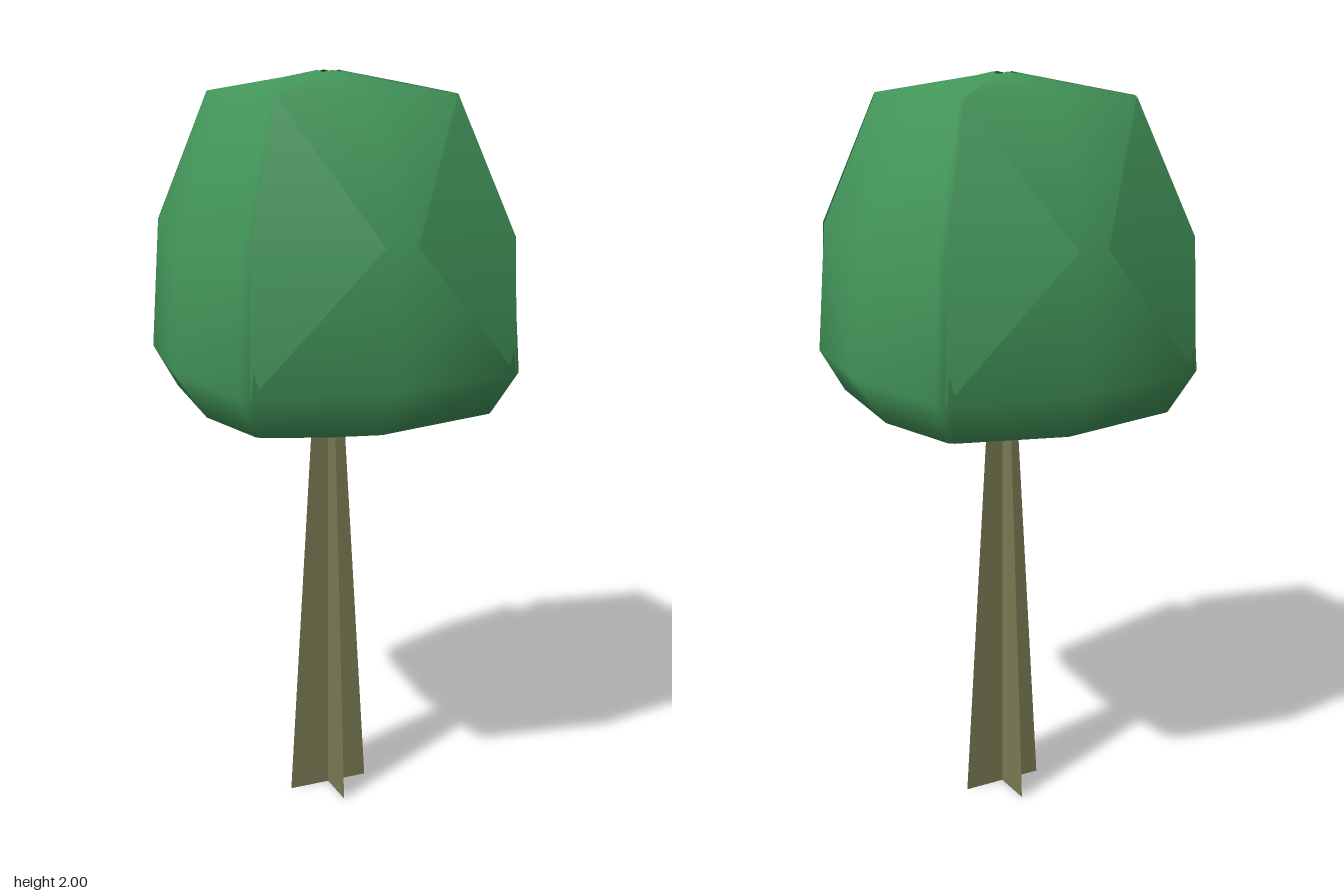
import * as THREE from 'three';

const leafMat = new THREE.MeshStandardMaterial({ color: 0x43965a, side: THREE.DoubleSide });
const barkMat = new THREE.MeshStandardMaterial({ color: 0x7b7b54, side: THREE.DoubleSide });

function meshFrom(name, positions, index, material) {
  const geo = new THREE.BufferGeometry();
  geo.setAttribute('position', new THREE.Float32BufferAttribute(positions, 3));
  geo.setIndex(index);
  geo.computeVertexNormals();
  const mesh = new THREE.Mesh(geo, material);
  mesh.name = name;
  return mesh;
}

// Rounded-square rings: height at side middles, middle reach, height at corners, corner reach, corner chamfer
const rings = [
  [1.12, 0.345, 1.14, 0.325, 0.012],
  [1.25, 0.437, 1.25, 0.38, 0.025],
  [1.6, 0.408, 1.6, 0.36, 0.02],
  [1.96, 0.25, 1.945, 0.248, 0.012],
  [2.0, 0.028, 1.995, 0.028, 0.003],
];

function createCrown() {
  const pos = [0, 1.03, 0];
  const index = [];
  const n = 12;
  for (const [midY, mid, cornerY, corner, chamfer] of rings) {
    for (let q = 0; q < 4; q++) {
      const c = Math.round(Math.cos(q * Math.PI / 2));
      const s = Math.round(Math.sin(q * Math.PI / 2));
      const points = [[mid, midY, 0], [corner, cornerY, corner - chamfer], [corner - chamfer, cornerY, corner]];
      for (const [x, y, z] of points) pos.push(c * x - s * z, y, s * x + c * z);
    }
  }
  for (let i = 0; i < n; i++) {
    const j = (i + 1) % n;
    index.push(0, 1 + i, 1 + j); // shallow cone underneath
    for (let r = 0; r < rings.length - 1; r++) {
      const a = 1 + r * n + i, b = 1 + r * n + j;
      // split each panel so its diagonal mirrors about the side middles
      if (i % 3 === 2) index.push(a, a + n, b, b, a + n, b + n);
      else index.push(a, a + n, b + n, a, b + n, b);
    }
  }
  return meshFrom('crown', pos, index, leafMat);
}

// Leaf flap running from a crown corner to a raised point near the middle of the front or back
function createFlap(sx, sz) {
  const points = [[0.042, 1.6, 0.447], [0.243, 1.945, 0.25], [0.352, 1.6, 0.366], [0.362, 1.25, 0.376]];
  const pos = points.flatMap(([x, y, z]) => [sx * x, y, sz * z]);
  const index = sx * sz > 0 ? [0, 2, 1, 0, 3, 2] : [0, 1, 2, 0, 2, 3];
  return meshFrom('leafFlap', pos, index, leafMat);
}

// Trunk: two tapered blades crossing at right angles
function createTrunk() {
  const trunk = new THREE.Group();
  trunk.name = 'trunk';
  for (let i = 0; i < 2; i++) {
    const blade = meshFrom('trunkBlade',
      [-0.115, 0, 0, 0.115, 0, 0, 0.045, 1.12, 0, -0.045, 1.12, 0], [0, 1, 2, 0, 2, 3], barkMat);
    blade.rotation.y = i * Math.PI / 2;
    trunk.add(blade);
  }
  return trunk;
}

export function createModel() {
  const tree = new THREE.Group();
  tree.name = 'tree';
  tree.add(createTrunk(), createCrown());
  for (const sx of [-1, 1]) for (const sz of [-1, 1]) tree.add(createFlap(sx, sz));
  return tree;
}
